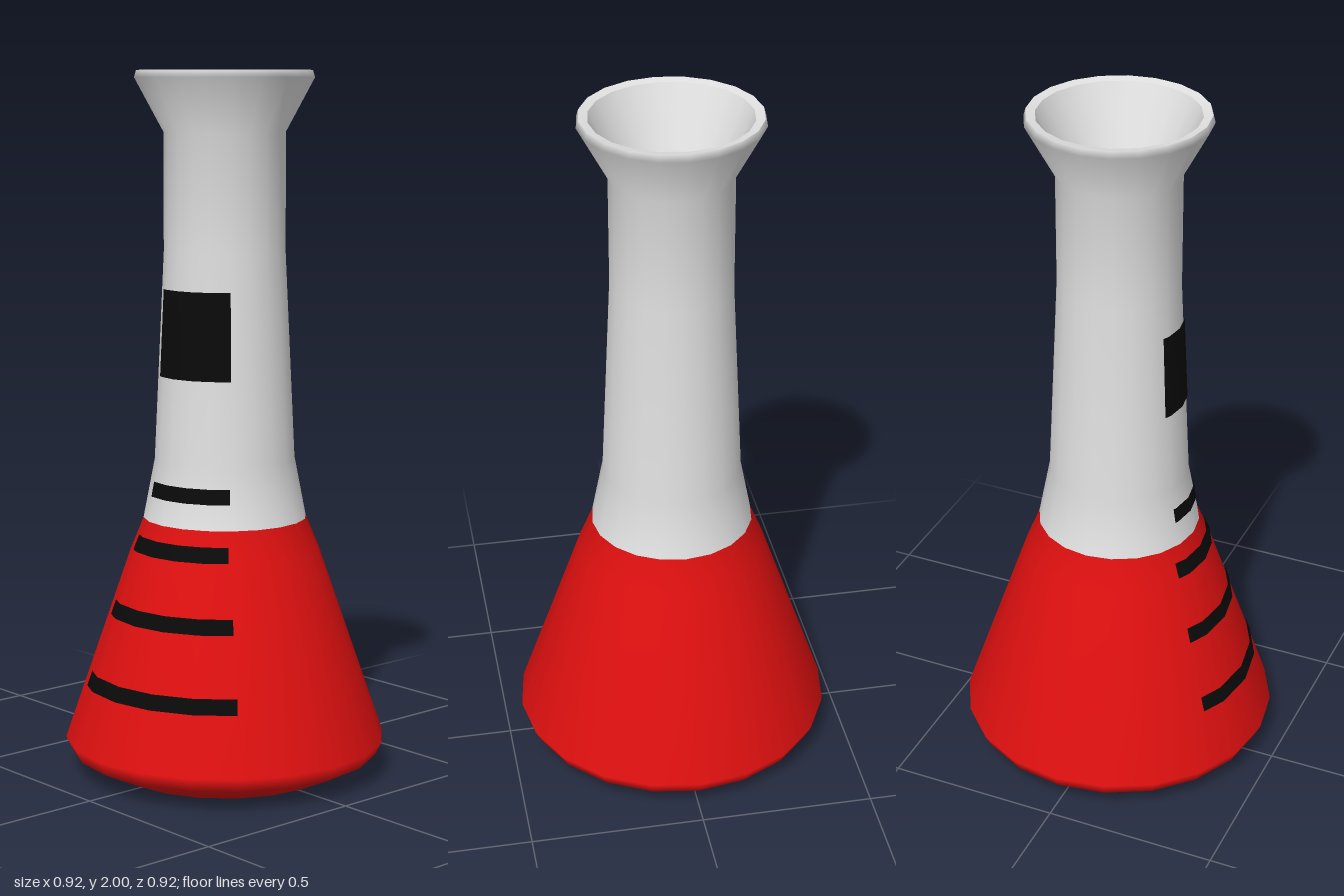
import * as THREE from 'three';

const SIDES = 20;
const STEP = (Math.PI * 2) / SIDES;

// Outer wall as [radius, height], from the centre of the base to the lip
const OUTER = [
  [0, 0], [0.32, 0.003], [0.44, 0.06], [0.46, 0.1], [0.27, 0.65], [0.233, 0.74],
  [0.2, 0.91], [0.172, 1.5], [0.172, 1.83], [0.253, 1.98], [0.247, 2],
];
const LIQUID_SEGMENTS = 5; // profile segments below the liquid level

const lathe = (pts) =>
  new THREE.LatheGeometry(pts.map(([r, y]) => new THREE.Vector2(r, y)), SIDES);

// Wall radius at a height
function radiusAt(y) {
  for (let i = 1; i < OUTER.length; i++) {
    const [r0, y0] = OUTER[i - 1], [r1, y1] = OUTER[i];
    if (y <= y1) return r0 + ((r1 - r0) * (y - y0)) / (y1 - y0);
  }
  return OUTER[OUTER.length - 1][0];
}

// Thin patch that follows the faceted wall between two heights and two x positions
function wallPatch(x0, x1, y0, y1) {
  const rMid = radiusAt((y0 + y1) / 2);
  const a0 = Math.asin(x0 / rMid), a1 = Math.asin(x1 / rMid);
  const angles = [a0];
  for (let k = Math.ceil(a0 / STEP); k * STEP < a1; k++) angles.push(k * STEP);
  angles.push(a1);
  const pos = [], index = [];
  angles.forEach((a, i) => {
    const inFacet = a - Math.floor(a / STEP + 1e-6) * STEP - STEP / 2;
    const facet = Math.cos(STEP / 2) / Math.cos(inFacet);
    for (const y of [y0, y1]) {
      const r = radiusAt(y) * facet + 0.004;
      pos.push(Math.sin(a) * r, y, Math.cos(a) * r);
    }
    if (i > 0) {
      const p = 2 * (i - 1);
      index.push(p, p + 2, p + 1, p + 2, p + 3, p + 1);
    }
  });
  const g = new THREE.BufferGeometry();
  g.setAttribute('position', new THREE.Float32BufferAttribute(pos, 3));
  g.setIndex(index);
  g.computeVertexNormals();
  return g;
}

export function createModel() {
  const group = new THREE.Group();
  const material = (name, color) => {
    const m = new THREE.MeshStandardMaterial({ color });
    m.name = name;
    return m;
  };
  const glass = material('pale glass', 0xe0e0e0);
  const liquid = material('red liquid', 0xe01010);
  const ink = material('black ink', 0x0a0a0a);

  const add = (name, geometry, mat) => {
    const mesh = new THREE.Mesh(geometry, mat);
    mesh.name = name;
    group.add(mesh);
  };

  // Flask wall: red up to the liquid level, pale above it
  const wall = lathe(OUTER);
  const segments = OUTER.length - 1;
  for (let i = 0; i < SIDES; i++) {
    const start = i * segments * 6;
    wall.addGroup(start, LIQUID_SEGMENTS * 6, 0);
    wall.addGroup(start + LIQUID_SEGMENTS * 6, (segments - LIQUID_SEGMENTS) * 6, 1);
  }
  add('flaskWall', wall, [liquid, glass]);

  // Mouth: lip, funnel and floor, each with its own sharp edge
  add('lip', lathe([[0.247, 2], [0.222, 1.995]]), glass);
  add('mouthFunnel', lathe([[0.222, 1.995], [0.146, 1.83]]), glass);
  add('mouthFloor', lathe([[0.146, 1.83], [0, 1.83]]), glass);

  // Label and measuring marks
  add('label', wallPatch(-0.075, 0.147, 1.15, 1.395), ink);
  [
    [-0.19, 0.318, 0.285], [-0.155, 0.258, 0.49], [-0.117, 0.2, 0.677], [-0.075, 0.17, 0.832],
  ].forEach(([x0, x1, y], i) =>
    add(`measuringMark${i + 1}`, wallPatch(x0, x1, y - 0.021, y + 0.021), ink));

  return group;
}
